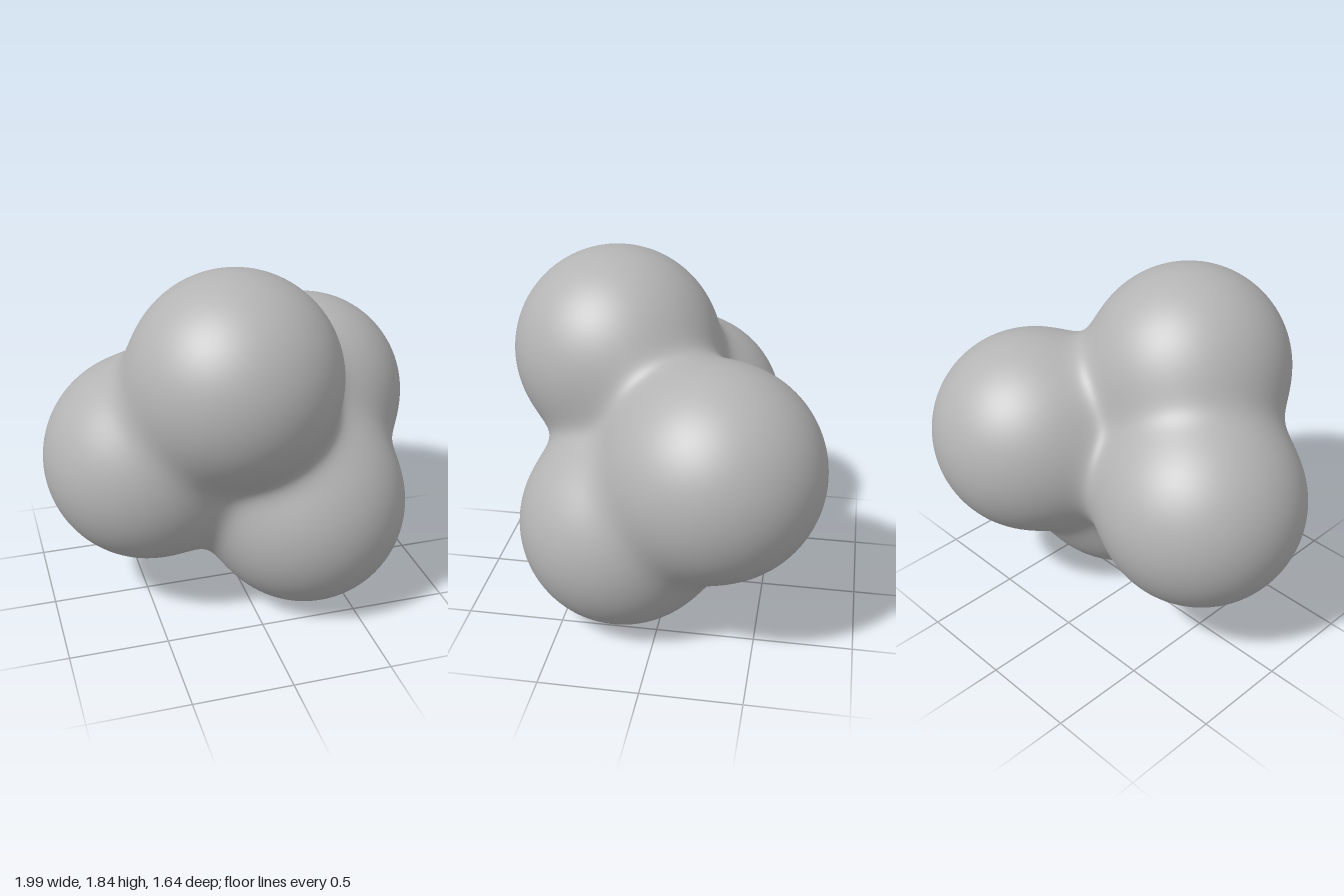
import * as THREE from 'three';
import { mergeVertices } from 'three/addons/utils/BufferGeometryUtils.js';

// Four lobes: centre x, y, z and radius
const lobes = [
  [-0.09, 1.315, 0.295, 0.525], // top
  [0.31, 0.53, 0.2, 0.53],      // bottom
  [-0.47, 0.81, 0, 0.53],       // right side
  [0.46, 0.94, -0.285, 0.535],  // back
].map(([x, y, z, radius]) => ({ centre: new THREE.Vector3(x, y, z), radius }));

const BLEND = 0.068;

// Smoothly blended distance to the joined lobes
function distance(p) {
  let sum = 0;
  for (const { centre, radius } of lobes) {
    sum += Math.exp(-(p.distanceTo(centre) - radius) / BLEND);
  }
  return -BLEND * Math.log(sum);
}

// Shrink a sphere along its rays until it rests on the blended lobes
function blendedGeometry() {
  const core = new THREE.Vector3(0.05, 0.9, 0.05);
  const ball = new THREE.IcosahedronGeometry(1, 40);
  ball.deleteAttribute('uv');
  ball.deleteAttribute('normal');
  const geometry = mergeVertices(ball, 1e-5);
  const position = geometry.attributes.position;
  const direction = new THREE.Vector3();
  const point = new THREE.Vector3();
  for (let i = 0; i < position.count; i++) {
    direction.fromBufferAttribute(position, i).normalize();
    let reach = 1.6;
    for (let step = 0; step < 120; step++) {
      point.copy(core).addScaledVector(direction, reach);
      const gap = distance(point);
      if (gap < 1e-4) break;
      reach = Math.max(reach - gap, 0.05);
    }
    position.setXYZ(i, point.x, point.y, point.z);
  }
  geometry.computeVertexNormals();
  return geometry;
}

export function createModel() {
  const group = new THREE.Group();
  group.name = 'blendedLobes';
  const grey = new THREE.MeshStandardMaterial({ color: 0xb4b4b4 });
  grey.name = 'grey';
  const body = new THREE.Mesh(blendedGeometry(), grey);
  body.name = 'lobedBody';
  group.add(body);
  return group;
}
